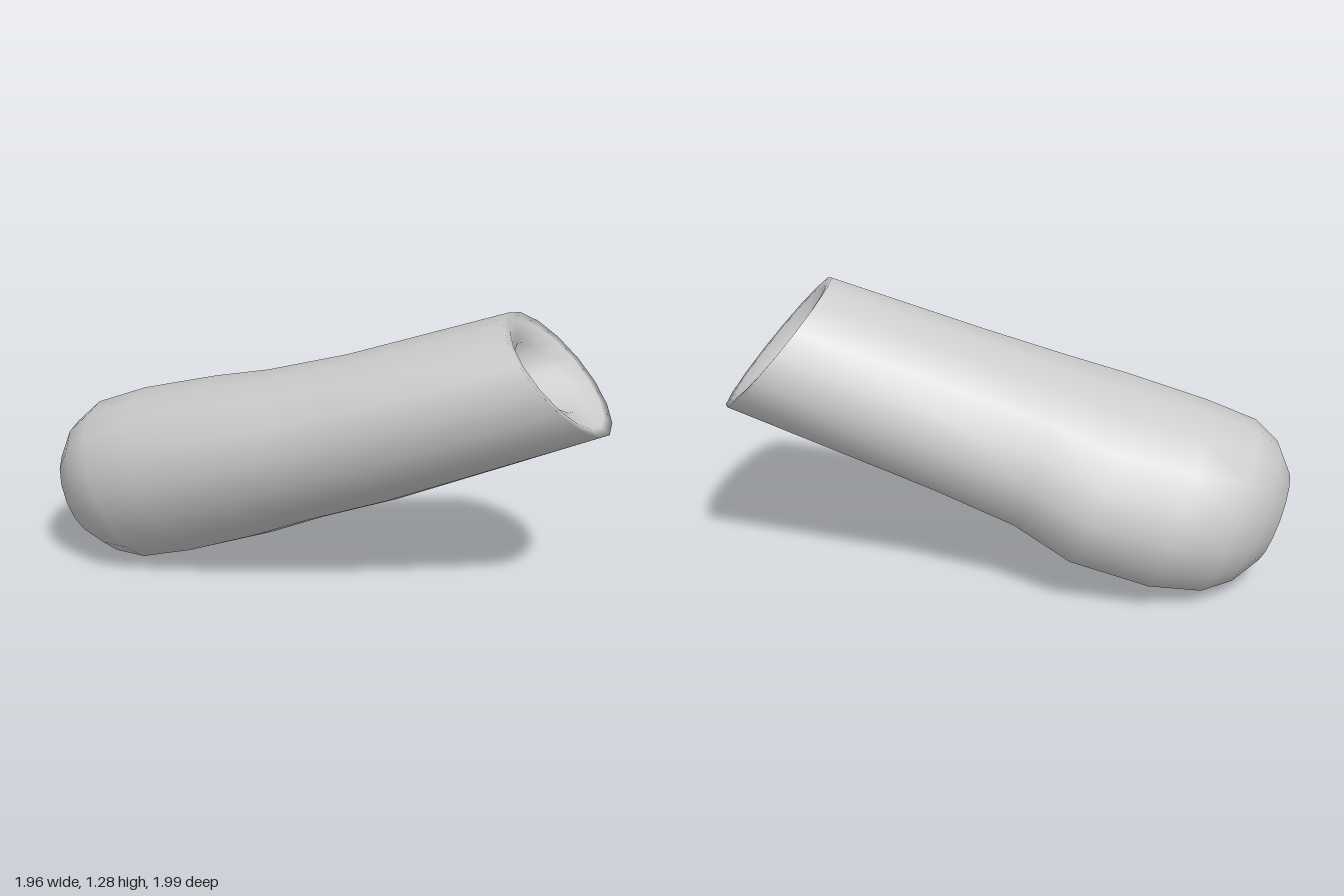
import * as THREE from 'three';

// Local frame: D runs along the tube towards the opening, U sideways, V upwards
const D = new THREE.Vector3(2, 1, 2).normalize();
const U = new THREE.Vector3(1, 0, -1).normalize();
const V = new THREE.Vector3().crossVectors(D, U);
const SIDES = 16;

// Sheared-ellipse sections: [along, centreU, centreV, radiusU, radiusV, shear, tilt]
const bodySections = [
  // rounded closed end
  [-1.065, -0.03, 0.67, 0, 0, 0, 0],
  [-1.02, -0.01, 0.665, 0.18, 0.21, -0.02, 0],
  [-0.925, 0.015, 0.665, 0.285, 0.32, -0.035, 0],
  [-0.80, 0.035, 0.662, 0.375, 0.38, -0.045, 0],
  [-0.57, 0.05, 0.65, 0.435, 0.395, -0.06, 0],
  // bend and straight shaft
  [-0.22, 0.025, 0.637, 0.458, 0.38, -0.08, 0],
  [0.05, -0.03, 0.64, 0.41, 0.352, -0.066, 0],
  [0.42, -0.06, 0.635, 0.382, 0.337, -0.06, 0],
];

// Slanted rim, then a broad inward lip and a small hollow: [scale, depth]
const rim = [1.255, -0.055, 0.657, 0.375, 0.305, -0.05, -0.41];
const hollow = [[1, 0], [0.86, 0.005], [0.56, 0.055], [0.42, 0.16], [0, 0.18]];
const rimSections = hollow.map(([k, depth]) => {
  const [s, cu, cv, ru, rv, shear, tilt] = rim;
  return [s - depth, cu, cv, ru * k, rv * k, shear * k, tilt];
});

function sectionPoint([s, cu, cv, ru, rv, shear, tilt], angle) {
  const u = ru * Math.cos(angle);
  const v = rv * Math.sin(angle) + shear * Math.cos(angle);
  return new THREE.Vector3()
    .addScaledVector(D, s + tilt * v)
    .addScaledVector(U, cu + u)
    .addScaledVector(V, cv + v);
}

// Skin the sections; a zero-radius section becomes a single pole vertex
function loft(rows) {
  const positions = [], index = [], rings = [];
  for (const row of rows) {
    const pole = row[3] === 0;
    const ring = [];
    for (let j = 0; j < SIDES; j++) {
      if (!pole || j === 0) {
        positions.push(...sectionPoint(row, (j / SIDES) * Math.PI * 2).toArray());
      }
      ring.push(positions.length / 3 - 1);
    }
    rings.push(ring);
  }
  for (let i = 0; i < rings.length - 1; i++) {
    for (let j = 0; j < SIDES; j++) {
      const k = (j + 1) % SIDES;
      const a = rings[i][j], b = rings[i][k], c = rings[i + 1][k], d = rings[i + 1][j];
      if (a !== b) index.push(a, b, c);
      if (c !== d) index.push(a, c, d);
    }
  }
  const geometry = new THREE.BufferGeometry();
  geometry.setAttribute('position', new THREE.Float32BufferAttribute(positions, 3));
  geometry.setIndex(index);
  geometry.computeVertexNormals();
  return geometry;
}

export function createModel() {
  const group = new THREE.Group();
  const body = new THREE.Mesh(
    loft([...bodySections, ...rimSections]),
    new THREE.MeshStandardMaterial({ color: 0xcccccc })
  );
  body.name = 'bentHollowEndedBody';
  group.add(body);
  return group;
}
